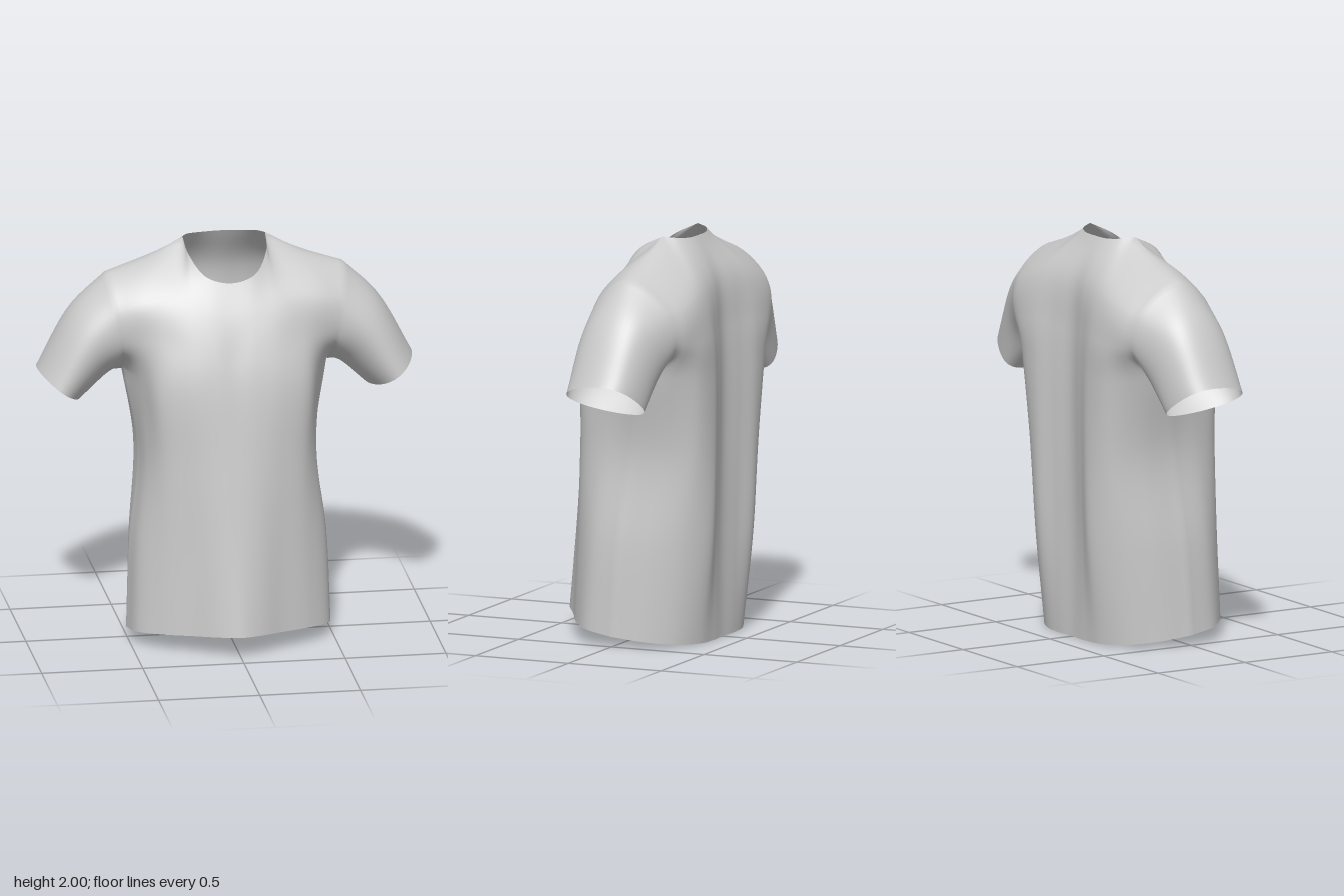
import * as THREE from 'three';

const STEPS = 8; // samples between neighbouring control points
const ARMPIT = 3; // control row where the side seam meets the armhole
const NECK = 3; // control column where the neckline meets the shoulder seam
const V = (x, y, z) => new THREE.Vector3(x, y, z);

// Half cross-sections from hem to neckline, each from the centre to the side: x, y, z
const FRONT = [
  [[0, .11, .44], [.1, .107, .41], [.22, .096, .335], [.37, .085, .25], [.472, .071, .15], [.505, .05, 0]],
  [[0, .5, .39], [.1, .5, .373], [.22, .5, .313], [.36, .5, .235], [.457, .5, .125], [.487, .5, -.02]],
  [[0, .95, .337], [.1, .95, .33], [.22, .95, .295], [.35, .95, .225], [.415, .95, .105], [.44, .95, -.06]],
  [[0, 1.34, .285], [.1, 1.34, .287], [.23, 1.34, .272], [.37, 1.34, .21], [.435, 1.34, .085], [.505, 1.34, -.13]],
  [[0, 1.5, .243], [.1, 1.51, .245], [.22, 1.53, .225], [.35, 1.55, .17], [.45, 1.54, .115], [.53, 1.5, .07]],
  [[0, 1.66, .187], [.11, 1.68, .177], [.21, 1.72, .145], [.32, 1.75, .105], [.45, 1.735, .085], [.56, 1.7, .065]],
  [[0, 1.825, .1], [.12, 1.855, .075], [.19, 1.94, -.02], [.205, 2, -.14], [.39, 1.905, -.125], [.585, 1.84, -.12]],
];
const BACK = [
  [[0, 0, -.37], [.12, 0, -.375], [.25, .003, -.362], [.38, .012, -.29], [.47, .03, -.15], [.505, .05, 0]],
  [[0, .5, -.368], [.12, .5, -.388], [.24, .5, -.418], [.37, .5, -.345], [.455, .5, -.2], [.487, .5, -.02]],
  [[0, .95, -.375], [.12, .95, -.4], [.24, .95, -.433], [.36, .95, -.39], [.43, .95, -.245], [.44, .95, -.06]],
  [[0, 1.34, -.378], [.12, 1.34, -.403], [.25, 1.34, -.437], [.39, 1.34, -.415], [.48, 1.34, -.31], [.505, 1.34, -.13]],
  [[0, 1.54, -.372], [.12, 1.54, -.395], [.26, 1.54, -.43], [.4, 1.53, -.428], [.485, 1.52, -.402], [.535, 1.5, -.362]],
  [[0, 1.78, -.35], [.12, 1.78, -.365], [.26, 1.77, -.38], [.38, 1.74, -.385], [.49, 1.71, -.37], [.57, 1.69, -.34]],
  [[0, 1.985, -.245], [.1, 1.985, -.235], [.17, 1.992, -.2], [.205, 2, -.14], [.39, 1.905, -.125], [.585, 1.84, -.12]],
];
const TOP = FRONT.length - 1, SIDE = FRONT[0].length - 1;

// Smooth curve through points, with corners at the given indices
function curve(points, corners = []) {
  const stops = [0, ...corners, points.length - 1];
  const out = [points[0]];
  for (let i = 0; i + 1 < stops.length; i++) {
    const piece = points.slice(stops[i], stops[i + 1] + 1);
    const spline = new THREE.CatmullRomCurve3(piece);
    out.push(...spline.getPoints((piece.length - 1) * STEPS).slice(1));
  }
  return out;
}

// Front and back column at one distance from the centre, running smoothly over the shoulder
function columnPair(c) {
  const front = FRONT.map(row => V(...row[c])), back = BACK.map(row => V(...row[c]));
  if (c <= NECK) return [curve(front), curve(back)];
  const over = [...front, ...back.reverse().slice(1)];
  const line = curve(over, c === SIDE ? [ARMPIT, over.length - 1 - ARMPIT] : []);
  const top = TOP * STEPS;
  return [line.slice(0, top + 1), line.slice(top).reverse()];
}

// Fine grid of a body panel: half columns mirrored, then splines across the rows
function panelGrid(columns) {
  return columns[0].map((_, r) => {
    const half = columns.map(col => col[r]);
    const mirror = half.slice(1).reverse().map(p => V(-p.x, p.y, p.z));
    // the top row has corners where neckline and shoulder seam meet
    return curve([...mirror, ...half], r === TOP * STEPS ? [SIDE - NECK, SIDE + NECK] : []);
  });
}

// Sleeve grid: armhole loop, upper arm loop and cuff loop joined by splines
function sleeveGrid(front, back) {
  const edge = grid => grid.slice(ARMPIT * STEPS).map(row => row[row.length - 1]);
  const armhole = [...edge(front), ...edge(back).reverse().slice(1)];
  const lines = armhole.map((p, k) => {
    const t = k / (armhole.length - 1) * Math.PI * 2;
    const c = Math.cos(t), s = Math.sin(t);
    return curve([
      p,
      V(.672 - .09 * c, 1.487 - .175 * c, -.16 - .025 * c + .04 * s * s + .204 * s),
      V(.815 - .112 * c, 1.283 - .082 * c, -.165 - .035 * c + .065 * s * s + .185 * s),
    ]);
  });
  return lines[0].map((_, i) => lines.map(line => line[i]));
}

function gridGeometry(grid, flip) {
  const w = grid[0].length, index = [];
  for (let r = 0; r + 1 < grid.length; r++) {
    for (let c = 0; c + 1 < w; c++) {
      const a = r * w + c, b = a + 1, d = a + w, e = d + 1;
      index.push(...(flip ? [a, d, b, b, d, e] : [a, b, d, b, e, d]));
    }
  }
  const geometry = new THREE.BufferGeometry().setFromPoints(grid.flat());
  geometry.setIndex(index);
  geometry.computeVertexNormals();
  return geometry;
}

// Share normals between panels so that the seams shade smoothly
function blendSeams(geometries) {
  const sums = new Map();
  const visit = fn => geometries.forEach(({ attributes: { position: p, normal: n } }) => {
    for (let i = 0; i < p.count; i++) {
      const key = [p.getX(i), p.getY(i), p.getZ(i)].map(v => Math.round(v * 1e4)).join();
      fn(key, n, i);
    }
  });
  visit((key, n, i) => {
    if (!sums.has(key)) sums.set(key, V(0, 0, 0));
    sums.get(key).add(V(0, 0, 0).fromBufferAttribute(n, i));
  });
  visit((key, n, i) => {
    const s = sums.get(key).clone().normalize();
    n.setXYZ(i, s.x, s.y, s.z);
  });
}

export function createModel() {
  const group = new THREE.Group();
  group.name = 'tShirt';
  const cloth = new THREE.MeshStandardMaterial({ color: 0xcccccc, side: THREE.DoubleSide });

  const pairs = FRONT[0].map((_, c) => columnPair(c));
  const front = panelGrid(pairs.map(pair => pair[0]));
  const back = panelGrid(pairs.map(pair => pair[1]));
  const sleeve = sleeveGrid(front, back);
  const mirrored = sleeve.map(row => row.map(p => V(-p.x, p.y, p.z)));

  const parts = {
    frontPanel: gridGeometry(front, false),
    backPanel: gridGeometry(back, true),
    leftSleeve: gridGeometry(sleeve, true),
    rightSleeve: gridGeometry(mirrored, false),
  };
  blendSeams(Object.values(parts));
  for (const [name, geometry] of Object.entries(parts)) {
    const mesh = new THREE.Mesh(geometry, cloth);
    mesh.name = name;
    group.add(mesh);
  }
  return group;
}
